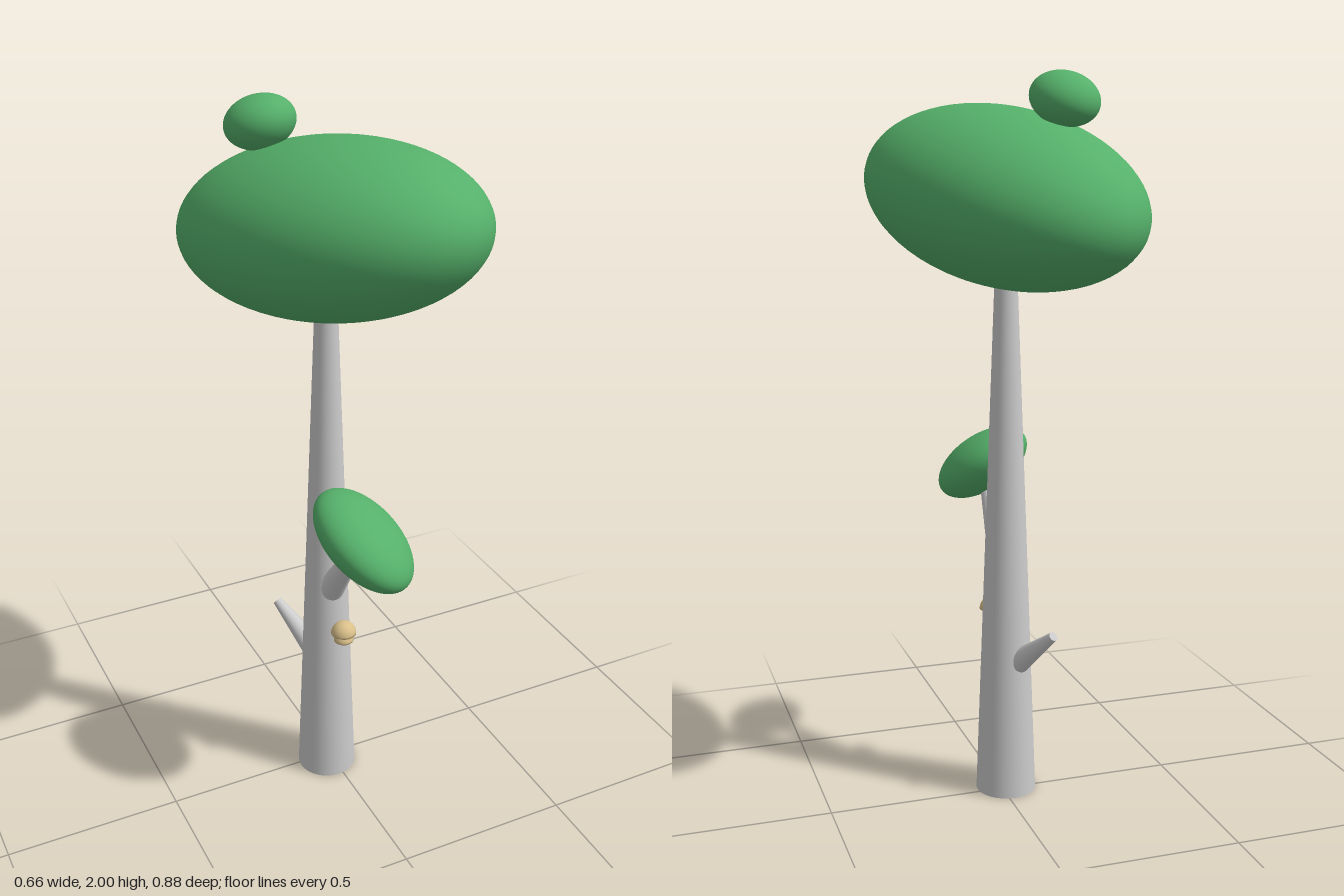
import * as THREE from 'three';

const bark = new THREE.MeshStandardMaterial({ color: 0xcccccc, side: THREE.DoubleSide });
const leaf = new THREE.MeshStandardMaterial({ color: 0x55b06a });
const fungus = new THREE.MeshStandardMaterial({ color: 0xd9c08a, side: THREE.DoubleSide });

// Ellipsoid clump of leaves: centre, semi-axes and yaw-pitch-roll tilt
function foliage(name, centre, radii, [pitch, yaw, roll]) {
  const mesh = new THREE.Mesh(new THREE.SphereGeometry(1, 64, 40), leaf);
  mesh.name = name;
  mesh.position.set(...centre);
  mesh.scale.set(...radii);
  mesh.rotation.set(pitch, yaw, roll, 'YXZ');
  return mesh;
}

// Tapered round limb running between two points
function limb(name, from, to, r0, r1, open = false) {
  const a = new THREE.Vector3(...from);
  const b = new THREE.Vector3(...to);
  const dir = b.clone().sub(a);
  const mesh = new THREE.Mesh(new THREE.CylinderGeometry(r1, r0, dir.length(), 40, 1, open), bark);
  mesh.name = name;
  mesh.position.copy(a).add(b).multiplyScalar(0.5);
  mesh.quaternion.setFromUnitVectors(new THREE.Vector3(0, 1, 0), dir.normalize());
  return mesh;
}

// Closed half-dome mushroom cap
function mushroomCap(name, y, r, h) {
  const profile = [new THREE.Vector2(0, 0)];
  for (let i = 0; i <= 10; i++) {
    const t = (i / 10) * Math.PI / 2;
    profile.push(new THREE.Vector2(i === 10 ? 0 : r * Math.cos(t), h * Math.sin(t)));
  }
  const mesh = new THREE.Mesh(new THREE.LatheGeometry(profile, 24), fungus);
  mesh.name = name;
  mesh.position.set(0, y, 0.097);
  return mesh;
}

export function createModel() {
  const tree = new THREE.Group();
  tree.name = 'tree';

  // Trunk and side limbs
  tree.add(
    limb('trunk', [-0.015, 0, 0.015], [-0.015, 1.55, 0.015], 0.085, 0.028, true),
    limb('frontBranch', [-0.015, 0.6, 0.015], [-0.02, 0.88, 0.225], 0.042, 0.018),
    limb('backTwig', [-0.015, 0.355, 0.015], [-0.098, 0.503, -0.15], 0.042, 0.013),
  );

  // Leaf clumps
  tree.add(
    foliage('crown', [0, 1.685, 0], [0.308, 0.2285, 0.466], [-0.186, 0.374, -0.042]),
    foliage('topPuff', [-0.117, 1.93, -0.15], [0.092, 0.068, 0.094], [-0.3, 0, 0.12]),
    foliage('branchLeaves', [-0.018, 0.912, 0.246], [0.135, 0.081, 0.171], [0.461, 0.208, -0.431]),
  );

  // Pair of shelf mushrooms on the trunk
  tree.add(
    mushroomCap('upperMushroom', 0.515, 0.036, 0.036),
    mushroomCap('lowerMushroom', 0.49, 0.028, 0.028),
  );

  return tree;
}
